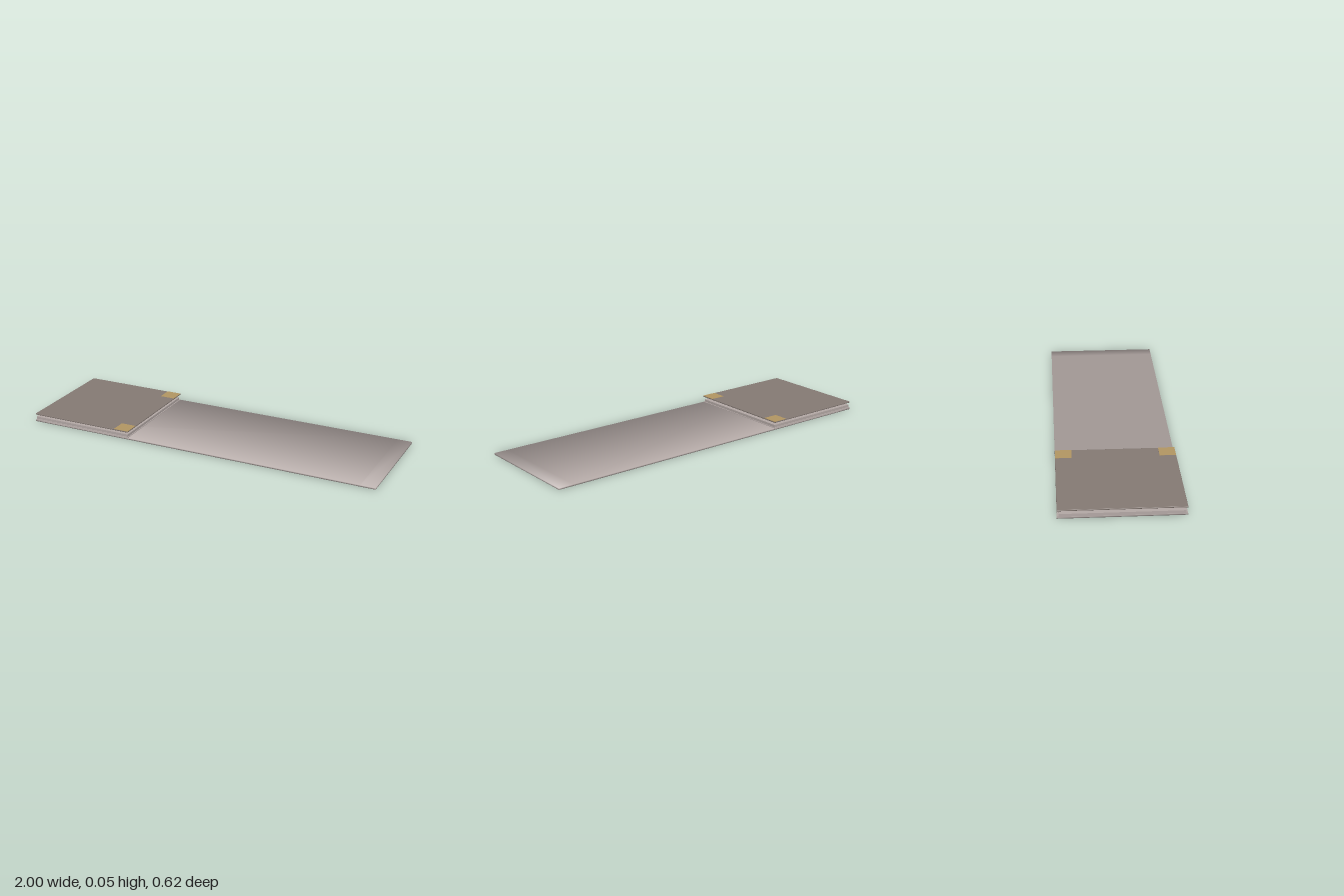
import * as THREE from 'three';
import { RoundedBoxGeometry } from 'three/addons/geometries/RoundedBoxGeometry.js';

function flat(name, hex) {
  const m = new THREE.MeshStandardMaterial({ color: hex });
  m.name = name;
  return m;
}

// Thin sheet with soft edge normals and a narrow hem at each end
function softSheet(length, height, depth, hem) {
  const g = new THREE.BoxGeometry(length, height, depth, 3, 1, 1);
  const p = g.attributes.position;
  const n = new THREE.Vector3();
  for (let i = 0; i < p.count; i++) {
    const x = p.getX(i);
    const atEnd = Math.abs(x) > length * 0.49;
    if (!atEnd) p.setX(i, Math.sign(x) * (length / 2 - hem));
    n.set(atEnd ? Math.sign(x) : 0, Math.sign(p.getY(i)), Math.sign(p.getZ(i))).normalize();
    g.attributes.normal.setXYZ(i, n.x, n.y, n.z);
  }
  return g;
}

export function createModel() {
  const model = new THREE.Group();
  model.name = 'layeredStrip';
  const pale = flat('paleTaupe', 0xb4a9a6);
  const taupe = flat('darkTaupe', 0x857a74);
  const gold = flat('mutedGold', 0xb39763);

  // Places a geometry by the centre of its box
  const add = (name, geometry, material, x, y, z = 0) => {
    const mesh = new THREE.Mesh(geometry, material);
    mesh.name = name;
    mesh.position.set(x, y, z);
    model.add(mesh);
  };

  // Long base sheet
  add('baseSheet', softSheet(2, 0.008, 0.62, 0.08), pale, 0, 0.004);

  // Stack at the right end: lower plate, core, raised cover
  add('lowerPlate', new THREE.BoxGeometry(0.594, 0.008, 0.618), pale, -0.702, 0.007);
  add('core', new THREE.BoxGeometry(0.59, 0.014, 0.604), pale, -0.705, 0.018);
  add('cover', new RoundedBoxGeometry(0.595, 0.007, 0.62, 2, 0.002), taupe, -0.7025, 0.043);

  // Gold patches on the inner corners of the cover
  for (const side of [-1, 1]) {
    add('cornerPatch', new THREE.BoxGeometry(0.085, 0.002, 0.085), gold, -0.4475, 0.0462, side * 0.267);
  }
  return model;
}
